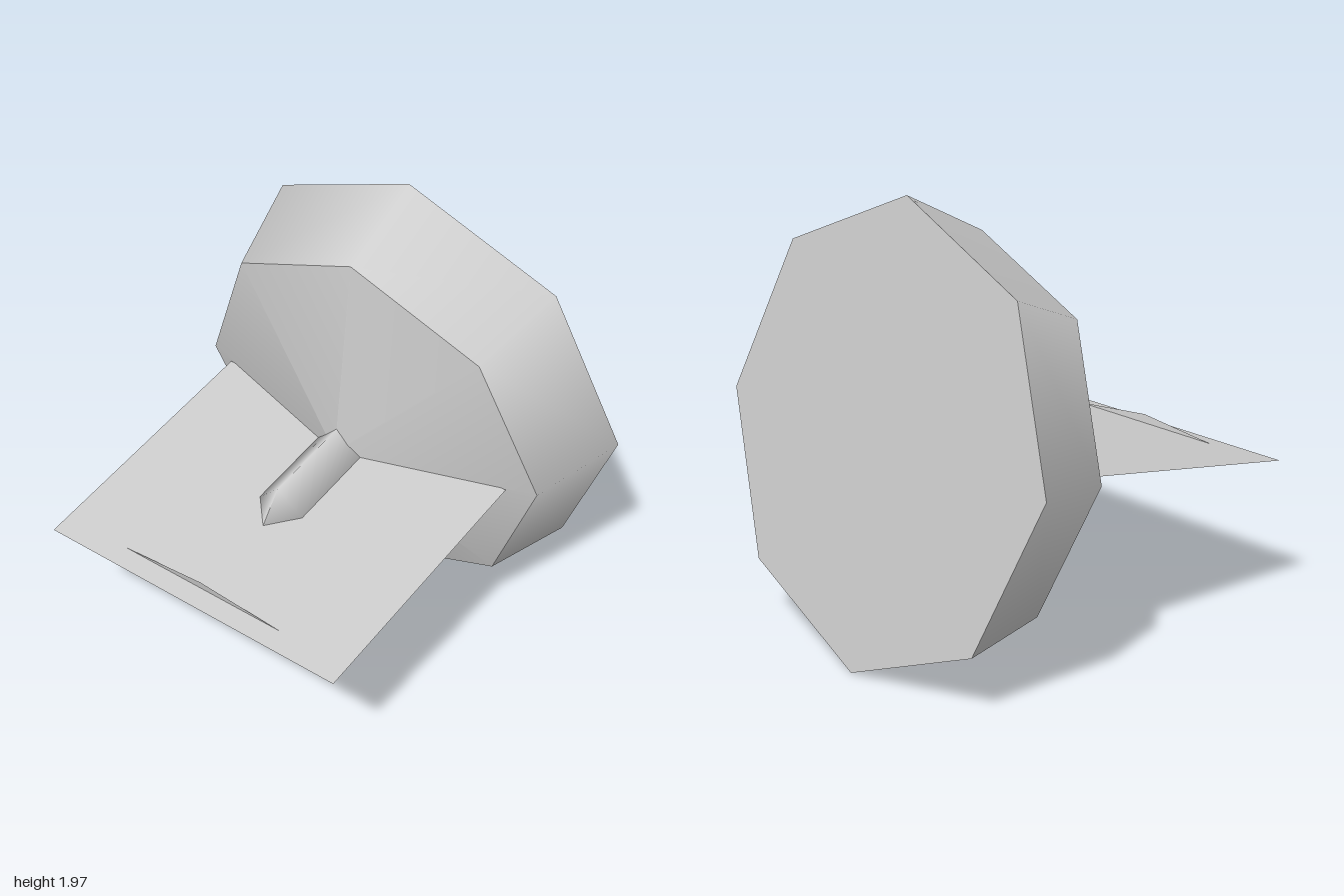
import * as THREE from 'three';

const mat = new THREE.MeshStandardMaterial({ color: 0xcccccc });
const thin = new THREE.MeshStandardMaterial({ color: 0xcccccc, side: THREE.DoubleSide });

export function createModel() {
  const model = new THREE.Group();

  // Everything shares one axis (local +z), tipped down and turned to the left
  const body = new THREE.Group();
  body.name = 'tiltedBody';
  body.rotation.set(THREE.MathUtils.degToRad(10), THREE.MathUtils.degToRad(10), 0, 'YXZ');
  body.position.set(-0.017, 0.987, -0.752);
  model.add(body);

  const add = (name, geometry, material = mat) => {
    const mesh = new THREE.Mesh(geometry, material);
    mesh.name = name;
    body.add(mesh);
    return mesh;
  };
  // Turns a geometry standing on y so that it runs along z, centred at z
  const along = (geometry, z = 0) => geometry.rotateX(Math.PI / 2).translate(0, 0, z);

  // Octagonal base: tapered wall, flat back and shallow conical front
  const backR = 0.998, frontR = 0.868, depth = 0.424, apex = 0.67;
  add('baseWall', along(new THREE.CylinderGeometry(frontR, backR, depth, 8, 1, true), depth / 2));
  add('baseBack', new THREE.CircleGeometry(backR, 8).rotateY(Math.PI));
  add('baseFront', along(new THREE.ConeGeometry(frontR, apex - depth, 8, 1, true), (apex + depth) / 2));

  // Four-sided rod with a pointed tip
  const profile = [[0.113, 0.5], [0.113, 1.045], [0, 1.167]].map(p => new THREE.Vector2(...p));
  add('rod', along(new THREE.LatheGeometry(profile, 4)));

  // Flat plate through the rod
  add('plate', along(new THREE.PlaneGeometry(1.483, 1.196).rotateX(-Math.PI / 2).rotateX(-Math.PI / 2), 1.064), thin);

  // Slim upright diamond near the front edge of the plate
  add('diamondFin', new THREE.CircleGeometry(1, 4).scale(0.412, 0.039, 1).translate(0, 0, 1.57), thin);

  return model;
}
